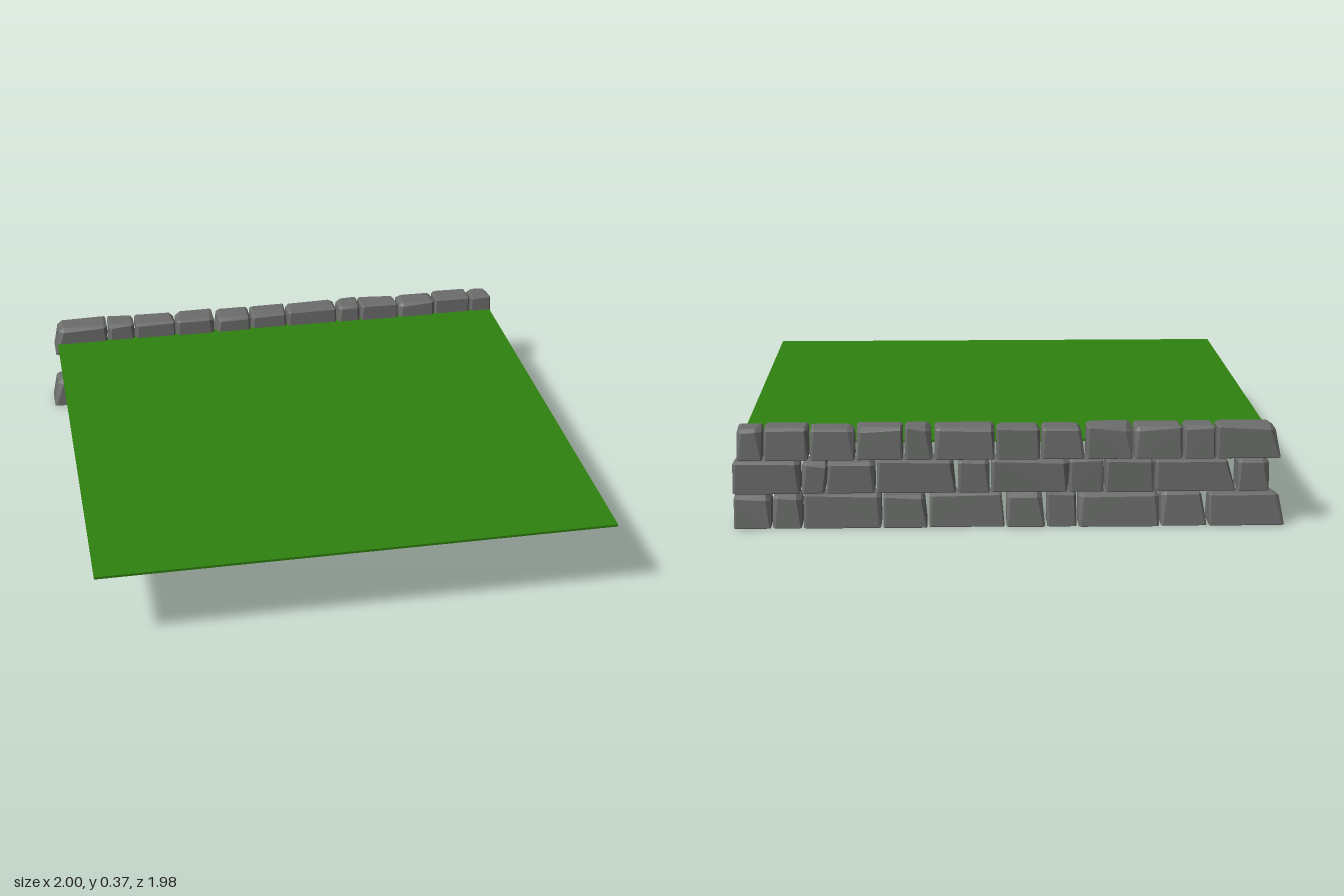
import * as THREE from 'three';
import { ConvexGeometry } from 'three/addons/geometries/ConvexGeometry.js';

// Small seeded generator, 0..1
function seeded(seed) {
  let s = seed;
  return () => (s = (s * 16807) % 2147483647) / 2147483647;
}

// Courses of the wall: x of the joints between stones, and how far
// the upper end of a stone's left side leans (by stone index)
const COURSES = [
  { name: 'bottomStone', y: 0, top: 0.122, frontLean: 0.015, backLean: 0.014,
    joints: [-1.005, -0.722, -0.547, -0.246, -0.132, 0.015, 0.296, 0.463, 0.751, 0.863, 1.005],
    leans: { 0: 0.02, 1: 0.02, 4: 0.01, 5: 0.01, 6: 0.01 } },
  { name: 'middleStone', y: 0.13, top: 0.247, frontLean: 0.004, backLean: 0.006,
    joints: [-0.945, -0.824, -0.527, -0.344, -0.212, 0.07, 0.192, 0.485, 0.666, 0.755, 1.005],
    leans: { 1: 0.028, 4: -0.012, 6: 0.01, 8: -0.015 } },
  { name: 'topStone', y: 0.253, top: 0.369, frontLean: 0.007, backLean: 0.01,
    joints: [-0.985, -0.747, -0.628, -0.448, -0.275, -0.112, 0.051, 0.276, 0.383, 0.557, 0.725, 0.89, 0.988],
    leans: { 0: 0.018, 4: 0.013, 7: 0.006 } },
];
const HALF_GAP = 0.004;

// A tapered block with every corner and edge chipped by a varying amount
function stoneGeometry({ left, right, lean, y, top, front, back, frontLean, backLean }, rand) {
  const points = [];
  for (const up of [0, 1]) for (const side of [0, 1]) for (const rear of [0, 1]) {
    const x = side ? right : left + up * lean;
    const z = rear ? back + up * backLean : front - up * frontLean;
    const py = up ? top : y;
    const chip = 0.004 + 0.008 * rand();
    const dx = (side ? -1 : 1) * chip * (1 + up * rand() * 1.5);
    const dy = up ? -chip * (0.8 + rand()) : 0.003;
    const dz = (rear ? 1 : -1) * (up ? chip * (1 + rand()) : 0.004);
    points.push(
      new THREE.Vector3(x, py + dy, z + dz),
      new THREE.Vector3(x + dx, py, z + dz),
      new THREE.Vector3(x + dx, py + dy, z));
  }
  return new ConvexGeometry(points);
}

export function createModel() {
  const group = new THREE.Group();
  const stone = new THREE.MeshStandardMaterial({ color: 0x6b6d6b });
  stone.name = 'stone grey';
  stone.flatShading = true;
  const grass = new THREE.MeshStandardMaterial({ color: 0x2f820f });
  grass.name = 'grass green';

  // Dry stone wall in three courses, with slightly uneven heights and depths
  const wall = new THREE.Group();
  wall.name = 'stoneWall';
  const rand = seeded(4711);
  for (const { name, joints, leans, ...course } of COURSES) {
    for (let i = 0; i < joints.length - 1; i++) {
      const block = {
        ...course,
        left: joints[i] + HALF_GAP,
        right: joints[i + 1] - HALF_GAP,
        lean: leans[i] ?? 0,
        top: course.top + (rand() - 0.5) * 0.008,
        front: -0.85 - rand() * 0.01,
        back: -0.975 - rand() * 0.012,
      };
      const mesh = new THREE.Mesh(stoneGeometry(block, rand), stone);
      mesh.name = `${name}${i + 1}`;
      wall.add(mesh);
    }
  }
  group.add(wall);

  // Thin lawn reaching forward from the wall
  const lawn = new THREE.Mesh(new THREE.BoxGeometry(1.95, 0.009, 1.87), grass);
  lawn.name = 'lawn';
  lawn.position.set(0.005, 0.3, 0.055);
  group.add(lawn);

  return group;
}
